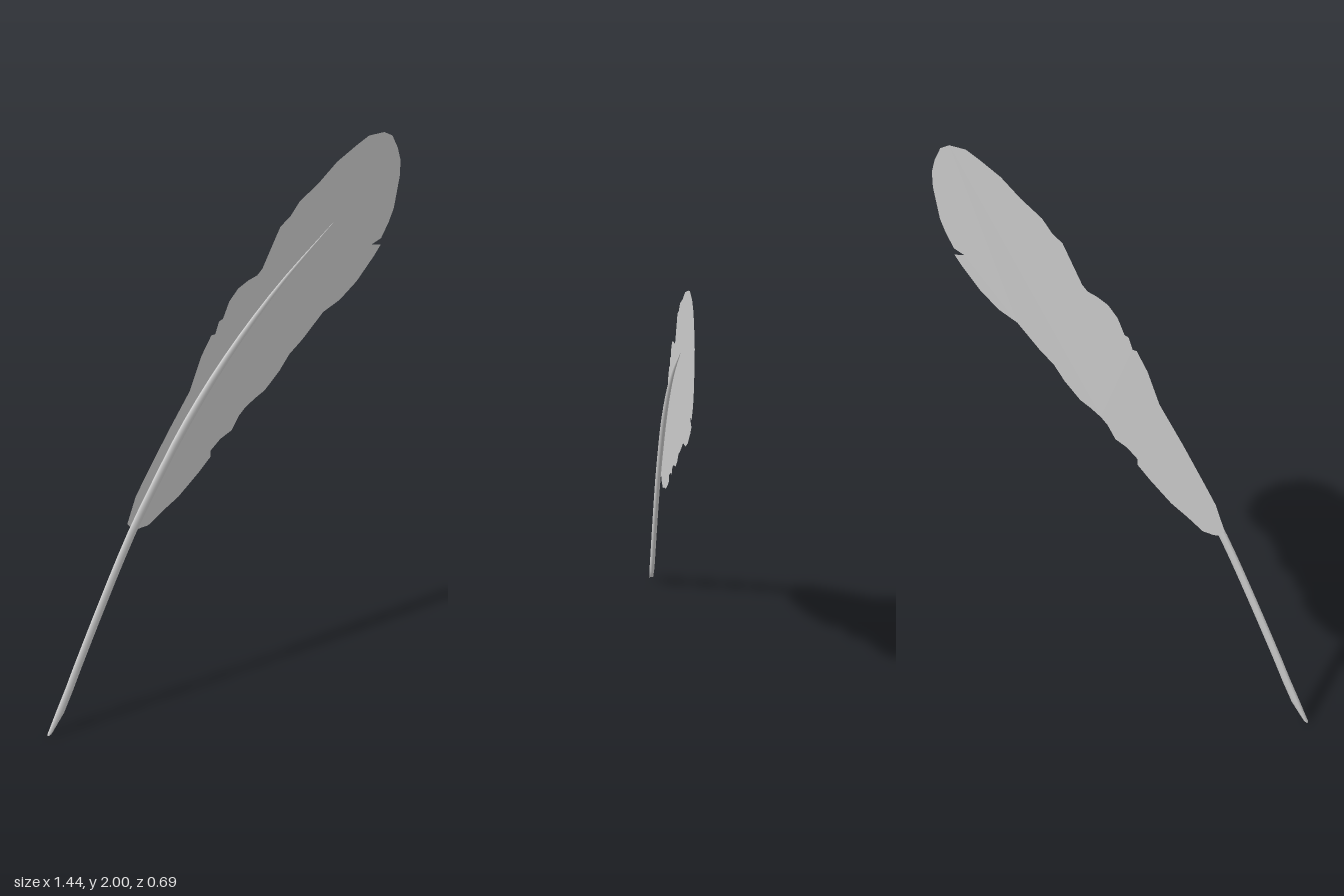
import * as THREE from 'three';

const TURN = Math.atan(0.472);          // the feather's plane is turned about y
const toPlane = (x) => x / Math.cos(TURN); // front-on x to x within that plane

const material = () => new THREE.MeshStandardMaterial({ color: 0xcccccc, side: THREE.DoubleSide });

// Flat vane with ragged edges
function createVane() {
  const outline = [
    // upper edge, base to tip
    [-0.38, 0.76], [-0.345, 0.86], [-0.31, 0.92], [-0.22, 1.07], [-0.13, 1.21], [-0.085, 1.33],
    [-0.045, 1.4], [-0.03, 1.4], [-0.015, 1.445], [0, 1.45], [0.025, 1.51], [0.06, 1.55],
    [0.1, 1.57], [0.135, 1.58], [0.155, 1.6], [0.19, 1.67], [0.225, 1.74], [0.265, 1.77],
    [0.3, 1.815], [0.38, 1.87], [0.45, 1.93], [0.53, 1.975],
    // rounded tip
    [0.58, 2], [0.645, 2], [0.68, 1.98], [0.705, 1.93], [0.72, 1.88], [0.72, 1.82], [0.7, 1.7],
    [0.68, 1.65], [0.65, 1.595],
    // notch and lower edge, tip to base
    [0.61, 1.58], [0.65, 1.57], [0.62, 1.53], [0.55, 1.45], [0.48, 1.395], [0.41, 1.365],
    [0.345, 1.3], [0.325, 1.28], [0.27, 1.235], [0.23, 1.18], [0.205, 1.155], [0.17, 1.12],
    [0.13, 1.1], [0.09, 1.075], [0.065, 1.05], [0.035, 1], [-0.01, 0.98], [-0.05, 0.945],
    [-0.05, 0.92], [-0.1, 0.87], [-0.18, 0.8], [-0.24, 0.765], [-0.3, 0.725], [-0.34, 0.725],
    [-0.36, 0.73],
  ].map(([x, y]) => new THREE.Vector2(toPlane(x), y));
  const vane = new THREE.Mesh(new THREE.ShapeGeometry(new THREE.Shape(outline)), material());
  vane.name = 'vane';
  vane.position.z = -0.012;
  return vane;
}

// Curved shaft: oval rings along the spine, slanted at the foot and tapering to a point
function createShaft() {
  const SIDES = 8, RINGS = 24;
  const spine = new THREE.CatmullRomCurve3([
    [-0.71, 0.01], [-0.662, 0.095], [-0.58, 0.28], [-0.447, 0.57], [-0.363, 0.74], [-0.265, 0.91],
    [-0.16, 1.08], [0, 1.293], [0.2, 1.508], [0.435, 1.712],
  ].map(([x, y]) => new THREE.Vector3(toPlane(x), y, 0)));
  const positions = [], index = [];
  for (let i = 0; i <= RINGS; i++) {
    const t = i / RINGS;
    const p = spine.getPointAt(t), d = spine.getTangentAt(t);
    const taper = t < 0.55 ? 1 : 1 - 0.95 * Math.pow((t - 0.55) / 0.45, 1.6);
    const foot = i === 0 ? 0.8 : 1;
    for (let j = 0; j < SIDES; j++) {
      const a = (j / SIDES) * Math.PI * 2;
      const across = 0.0175 * taper * foot * Math.cos(a);
      const depth = 0.0105 * taper * foot * Math.sin(a);
      const y = p.y - d.x * across;
      positions.push(p.x + d.y * across, i === 0 ? Math.max(0, 0.008 + across * 0.55) : y, depth);
    }
  }
  for (let i = 0; i < RINGS; i++) {
    for (let j = 0; j < SIDES; j++) {
      const k = (j + 1) % SIDES;
      const a = i * SIDES + j, b = i * SIDES + k;
      index.push(a, a + SIDES, b, b, a + SIDES, b + SIDES);
    }
  }
  // end caps
  const last = RINGS * SIDES;
  for (let j = 1; j < SIDES - 1; j++) {
    index.push(0, j, j + 1, last, last + j + 1, last + j);
  }
  const geometry = new THREE.BufferGeometry();
  geometry.setAttribute('position', new THREE.Float32BufferAttribute(positions, 3));
  // across x depth runs opposite to the spine, so flip the winding outward
  for (let n = 0; n < index.length; n += 3) {
    const isCap = n >= RINGS * SIDES * 6;
    if (!isCap && outwardness(positions, index, n, SIDES) < 0) {
      [index[n + 1], index[n + 2]] = [index[n + 2], index[n + 1]];
    }
  }
  geometry.setIndex(index);
  geometry.computeVertexNormals();
  const shaft = new THREE.Mesh(geometry, material());
  shaft.name = 'shaft';
  return shaft;
}

// Sign tells whether a triangle faces away from the centre of its ring
function outwardness(positions, index, n, sides) {
  const at = (i) => new THREE.Vector3().fromArray(positions, i * 3);
  const [a, b, c] = [at(index[n]), at(index[n + 1]), at(index[n + 2])];
  const start = Math.floor(index[n] / sides) * sides;
  const centre = at(start).add(at(start + sides / 2)).multiplyScalar(0.5);
  const normal = b.sub(a).cross(c.sub(a));
  return normal.dot(a.sub(centre));
}

export function createModel() {
  const feather = new THREE.Group();
  feather.name = 'feather';
  feather.add(createVane(), createShaft());
  feather.rotation.y = TURN;
  const model = new THREE.Group();
  model.name = 'quill';
  model.add(feather);
  return model;
}
